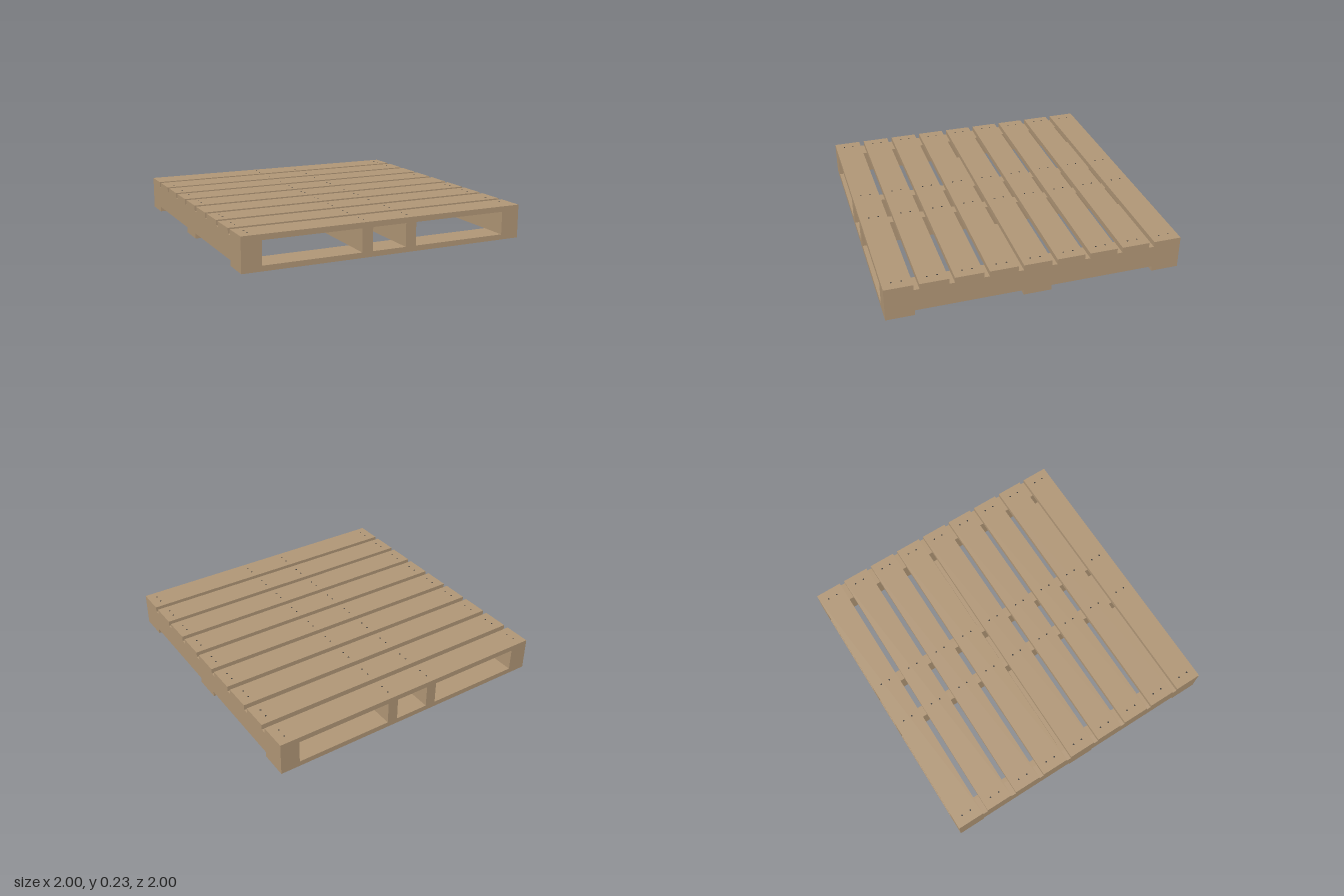
import * as THREE from 'three';

const BOARD_T = 0.037;      // board thickness
const BOARD_W = 0.19;       // board width
const STRINGER_H = 0.157;
const HEIGHT = 2 * BOARD_T + STRINGER_H;
const PITCH = (2 - BOARD_W) / 8;
const NAIL_LIFT = 0.001;

export function createModel() {
  const pallet = new THREE.Group();
  pallet.name = 'pallet';

  const wood = new THREE.MeshStandardMaterial({ color: 0xb09676 });
  wood.name = 'wood';
  const steel = new THREE.MeshStandardMaterial({ color: 0x3c3a38 });
  steel.name = 'nail steel';

  const nailGeometry = new THREE.CircleGeometry(0.006, 10);

  function addBox(name, w, h, d, x, y, z) {
    const mesh = new THREE.Mesh(new THREE.BoxGeometry(w, h, d), wood);
    mesh.name = name;
    mesh.position.set(x, y, z);
    pallet.add(mesh);
  }

  // Pairs of flat nail heads where a board crosses each stringer
  function addNails(name, y, z, facing) {
    const nails = new THREE.Group();
    nails.name = name;
    for (const x of [-0.935, -0.157, 0.157, 0.935]) {
      for (const dz of [-0.033, 0.033]) {
        const nail = new THREE.Mesh(nailGeometry, steel);
        nail.name = 'nailHead';
        nail.rotation.x = -facing * Math.PI / 2;
        nail.position.set(x, y + facing * NAIL_LIFT, z + dz);
        nails.add(nail);
      }
    }
    pallet.add(nails);
  }

  // Stringers: wide outer pair, narrow inner pair
  const stringerY = BOARD_T + STRINGER_H / 2;
  for (const side of [-1, 1]) {
    addBox('outerStringer', 0.133, STRINGER_H, 2, side * 0.9335, stringerY, 0);
    addBox('innerStringer', 0.075, STRINGER_H, 2, side * 0.157, stringerY, 0);
  }

  // Nine deck boards on top
  for (let i = 0; i < 9; i++) {
    const z = (i - 4) * PITCH;
    addBox('deckBoard', 2, BOARD_T, BOARD_W, 0, HEIGHT - BOARD_T / 2, z);
    addNails('deckNails', HEIGHT, z, 1);
  }

  // Three boards underneath, raised a hair so their nails rest on the ground
  for (const i of [-4, 0, 4]) {
    const z = i * PITCH;
    addBox('bottomBoard', 2, BOARD_T - NAIL_LIFT, BOARD_W, 0, (BOARD_T + NAIL_LIFT) / 2, z);
    addNails('bottomNails', NAIL_LIFT, z, -1);
  }

  return pallet;
}
